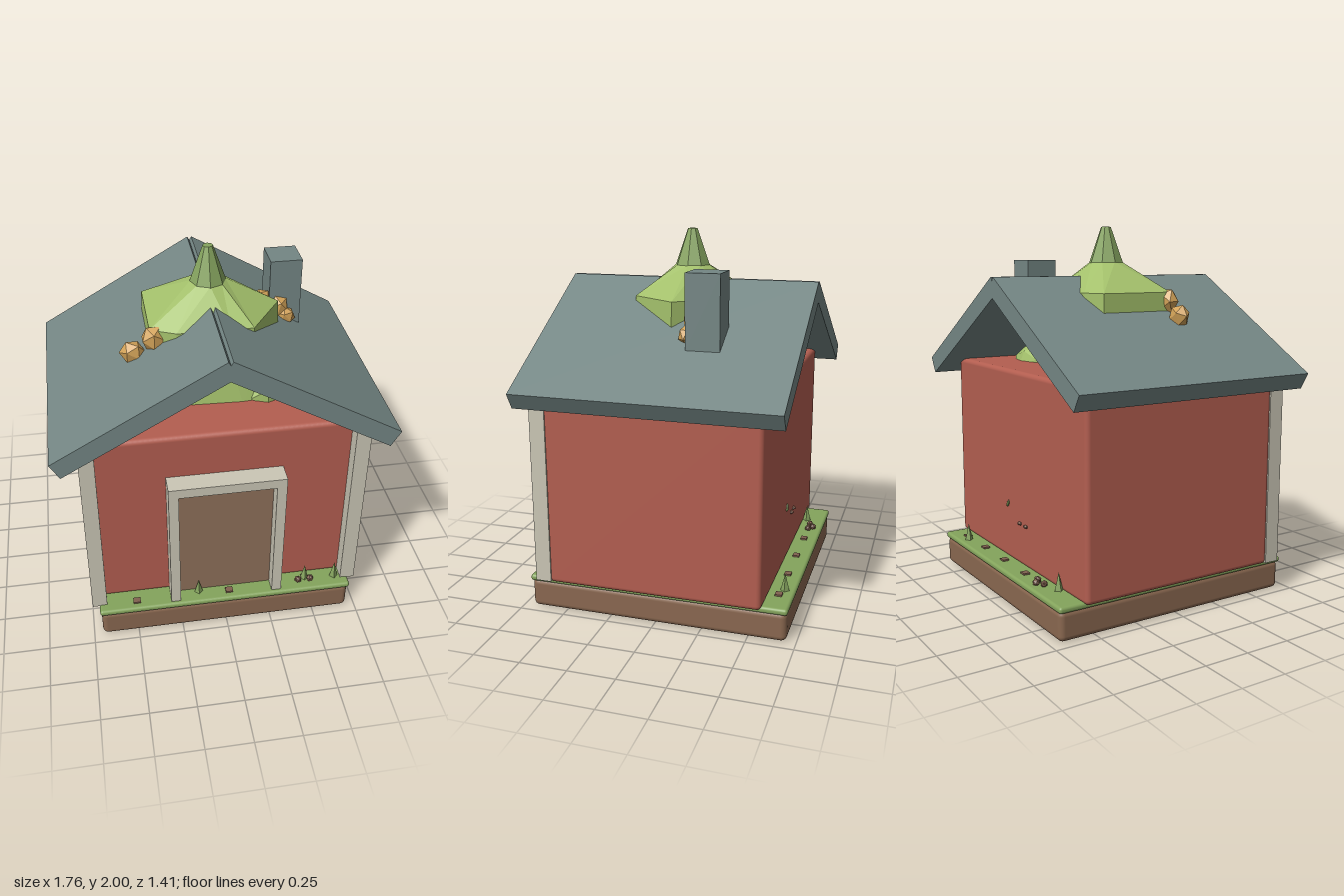
import * as THREE from 'three';
import { RoundedBoxGeometry } from 'three/addons/geometries/RoundedBoxGeometry.js';

const mat = (name, color, flat = true) => {
  const m = new THREE.MeshStandardMaterial({ color, flatShading: flat });
  m.name = name;
  return m;
};

// Faceted loft through horizontal rings, listed from bottom to top: { y, pts: [[x, z], ...] }
function loft(rings) {
  const pos = [], idx = [], n = rings[0].pts.length;
  for (const { y, pts } of rings) for (const [x, z] of pts) pos.push(x, y, z);
  for (let r = 0; r < rings.length - 1; r++) {
    for (let i = 0; i < n; i++) {
      const a = r * n + i, b = r * n + (i + 1) % n;
      idx.push(a, a + n, b, b, a + n, b + n);
    }
  }
  const g = new THREE.BufferGeometry();
  g.setAttribute('position', new THREE.Float32BufferAttribute(pos, 3));
  g.setIndex(idx);
  const flat = g.toNonIndexed();
  flat.computeVertexNormals();
  return flat;
}

export function createModel() {
  const model = new THREE.Group();
  model.name = 'house';
  const wallRed = mat('wall red', 0xb35e50, false);
  const slate = mat('slate', 0x748684);
  const trim = mat('trim cream', 0xcbc7b6);
  const soil = mat('soil brown', 0x8a6850, false);
  const doorBrown = mat('door brown', 0x8d705a);
  const grass = mat('grass green', 0x84a45c, false);
  const stemGreen = mat('stem green', 0x86a45f);
  const leaf = mat('leaf green', 0xa3c06b);
  const amber = mat('amber', 0xd2a258);
  const stone = mat('stone brown', 0x80604f);

  const add = (name, geo, material, x = 0, y = 0, z = 0) => {
    const m = new THREE.Mesh(geo, material);
    m.name = name;
    m.position.set(x, y, z);
    model.add(m);
    return m;
  };
  // Box from its minimum and maximum corners
  const box = (name, material, [x0, y0, z0], [x1, y1, z1], radius = 0) => {
    const s = [x1 - x0, y1 - y0, z1 - z0];
    const g = radius ? new RoundedBoxGeometry(...s, 3, radius) : new THREE.BoxGeometry(...s);
    return add(name, g, material, (x0 + x1) / 2, (y0 + y1) / 2, (z0 + z1) / 2);
  };
  const lump = (name, material, [x, y, z], [rx, ry, rz], detail = 0, turn = 0) => {
    const m = add(name, new THREE.IcosahedronGeometry(1, detail), material, x, y, z);
    m.scale.set(rx, ry, rz);
    m.rotation.z = turn;
    return m;
  };

  // Ground slab and walls
  box('soilBase', soil, [-0.7, 0, -0.7], [0.7, 0.16, 0.7], 0.03);
  box('grassLayer', grass, [-0.708, 0.15, -0.705], [0.708, 0.185, 0.705], 0.015);
  box('walls', wallRed, [-0.742, 0.175, -0.575], [0.742, 1.24, 0.575], 0.025);

  // Corner posts, door and door frame
  for (const s of [-1, 1]) {
    const post = box('cornerPost', trim, [0.665, 0.18, 0.565], [0.745, 1.24, 0.65]);
    post.position.x *= s;
    const jamb = box('doorJamb', trim, [0.257, 0.18, 0.56], [0.31, 0.99, 0.685]);
    jamb.position.x *= s;
  }
  box('doorLintel', trim, [-0.257, 0.935, 0.56], [0.257, 0.99, 0.685]);
  box('door', doorBrown, [-0.257, 0.18, 0.56], [0.257, 0.905, 0.61]);

  // Gabled roof with a fine groove along the ridge
  const half = [[0.012, 1.735], [0.882, 1.235], [0.832, 1.15]];
  const mirrored = half.map(([x, y]) => [-x, y]).reverse();
  const outline = [[0, 1.715], ...half, [0, 1.625], ...mirrored];
  const roofShape = new THREE.Shape(outline.map(([x, y]) => new THREE.Vector2(x, y)));
  add('roof', new THREE.ExtrudeGeometry(roofShape, { depth: 1.39, bevelEnabled: false }), slate, 0, 0, -0.695);
  box('chimney', slate, [0.36, 1.43, -0.3], [0.535, 1.82, -0.12]);

  // Faceted plant growing through the roof
  const circle = (r) => Array.from({ length: 8 }, (_, i) =>
    [r * Math.cos(i * Math.PI / 4), r * Math.sin(i * Math.PI / 4)]);
  const belly = [[0.38, 0], [0.2, 0.26], [0.08, 0.27], [-0.2, 0.26],
    [-0.33, 0.2], [-0.33, -0.22], [-0.2, -0.26], [0.13, -0.27]];
  add('plantBody', loft([
    { y: 1.2, pts: belly.map(([x, z]) => [x * 1.05 + 0.06, z * 1.2]) },
    { y: 1.46, pts: belly.map(([x, z]) => [x * 1.02, z * 1.02]) },
    { y: 1.65, pts: belly },
    { y: 1.81, pts: circle(0.09) },
  ]), leaf);
  lump('plantSideLobe', leaf, [0.4, 1.2, -0.1], [0.26, 0.18, 0.25], 1);
  lump('plantFrontLobe', leaf, [0.27, 1.25, 0.26], [0.1, 0.13, 0.1]);
  const stem = new THREE.CylinderGeometry(0.027, 0.105, 0.22, 8);
  add('plantStem', stem, stemGreen, 0, 1.89, 0);
  lump('brownStone', stone, [-0.27, 1.35, 0.26], [0.1, 0.13, 0.1], 1);

  // Amber clusters hanging at both sides of the plant
  const fruits = [
    [-0.31, 1.6, 0.2, 0.068], [-0.42, 1.525, 0.195, 0.065], [-0.45, 1.37, 0.2, 0.075],
    [-0.4, 1.28, 0.2, 0.065], [-0.34, 1.42, 0.2, 0.07],
    [0.32, 1.6, -0.14, 0.05], [0.41, 1.55, -0.12, 0.06], [0.455, 1.5, -0.1, 0.05],
  ];
  fruits.forEach(([x, y, z, r], i) => lump('amberFruit', amber, [x, y, z], [r, r * 1.1, r * 0.8], 0, i));

  // Grass tufts and pebbles along the ledges
  for (const [x, z, h] of [[-0.15, 0.63, 0.09], [0.46, 0.62, 0.1], [0.63, 0.63, 0.11],
    [0.49, -0.65, 0.1], [-0.5, -0.595, 0.1]]) {
    add('grassTuft', new THREE.ConeGeometry(0.025, h, 4), stemGreen, x, 0.18 + h / 2, z);
  }
  for (const [x, z] of [[-0.5, 0.65], [0.02, 0.65], [0.55, -0.63], [0.3, -0.63], [0.05, -0.63], [-0.2, -0.63]]) {
    box('flatPebble', stone, [x - 0.02, 0.18, z - 0.018], [x + 0.02, 0.194, z + 0.018]);
  }
  for (const [cx, cz] of [[0.45, 0.63], [-0.38, -0.64]]) {
    for (const [dx, dz] of [[-0.03, 0.01], [0.01, -0.015], [0.04, 0.01]]) {
      lump('pebble', stone, [cx + dx, 0.197, cz + dz], [0.022, 0.02, 0.02], 0, dx * 20);
    }
  }

  // Small leaf and seeds poking from the back wall
  lump('wallLeaf', stemGreen, [0.1, 0.49, -0.577], [0.01, 0.025, 0.01], 0, 0.5);
  for (const x of [-0.04, -0.11]) lump('wallSeed', stone, [x, 0.41, -0.577], [0.02, 0.01, 0.015]);

  return model;
}
